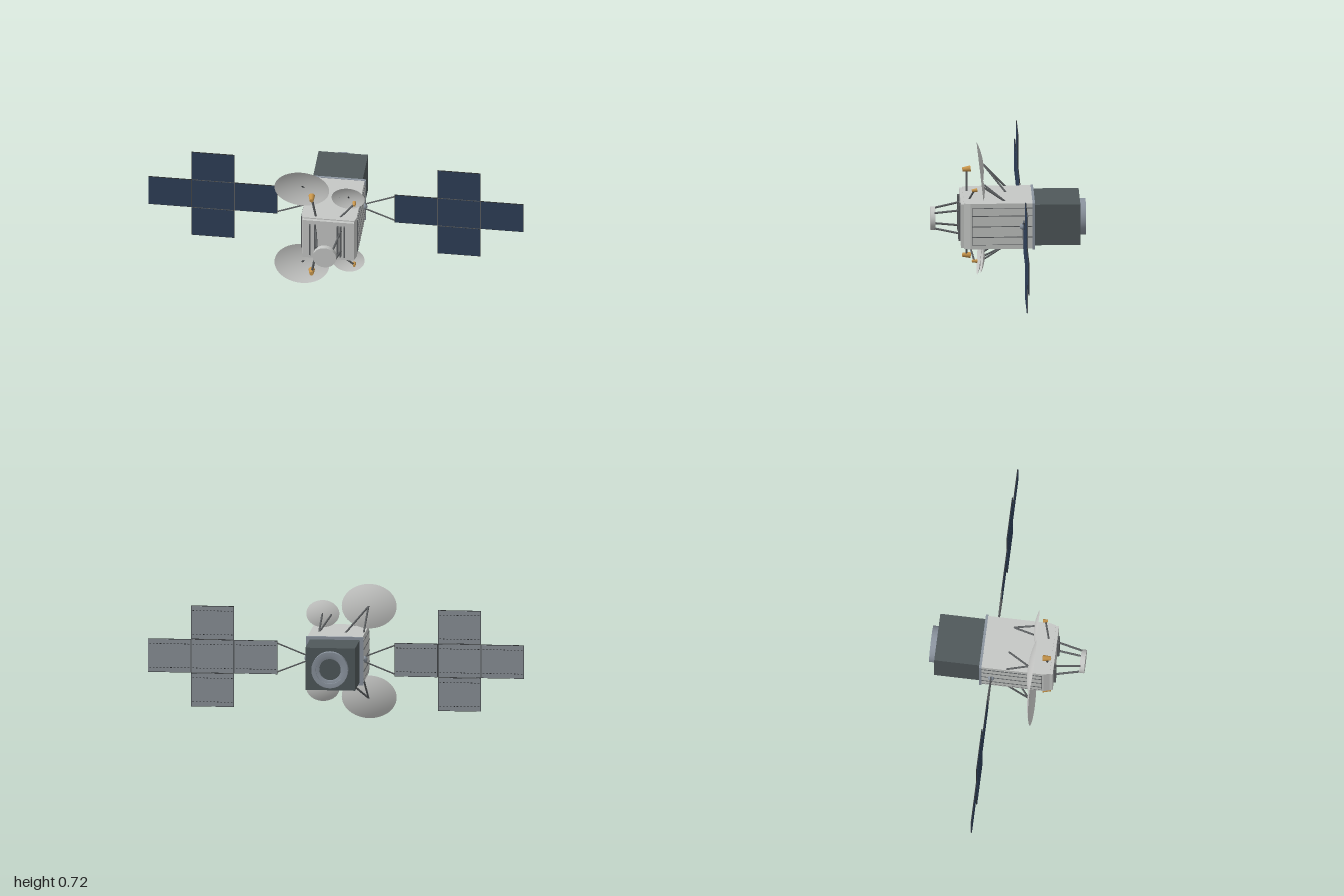
import * as THREE from 'three';
import { toCreasedNormals } from 'three/addons/utils/BufferGeometryUtils.js';

const CY = 0.363; // height of the satellite's long axis
const mat = (name, color, side = THREE.FrontSide) => {
  const m = new THREE.MeshStandardMaterial({ color, side });
  m.name = name;
  return m;
};

export function createModel() {
  const M = {
    hull: mat('hullGrey', 0xc6c8c6),
    dish: mat('dishWhite', 0xcbccca, THREE.DoubleSide),
    dark: mat('engineCharcoal', 0x50595b),
    steel: mat('steelBlue', 0x8c95a0),
    rod: mat('rodGrey', 0x5c5f61),
    cell: mat('cellNavy', 0x2e3f58),
    back: mat('panelBackGrey', 0x8b9299),
    frame: mat('frameBlack', 0x2c2f31),
    gold: mat('feedGold', 0xc8954a),
  };
  const model = new THREE.Group();
  model.name = 'satellite';

  const add = (parent, name, geo, material, x = 0, y = 0, z = 0) => {
    const mesh = new THREE.Mesh(geo, material);
    mesh.name = name;
    mesh.position.set(x, y, z);
    parent.add(mesh);
    return mesh;
  };
  const box = (parent, name, w, h, d, material, x, y, z) =>
    add(parent, name, new THREE.BoxGeometry(w, h, d), material, x, y, z);
  // Round bar between two points, tapered if two radii are given
  const bar = (parent, name, a, b, r, material = M.rod, r2 = r) => {
    const p = new THREE.Vector3(...a), q = new THREE.Vector3(...b);
    const dir = q.clone().sub(p);
    const mesh = add(parent, name, new THREE.CylinderGeometry(r2, r, dir.length(), 12), material);
    mesh.position.copy(p).add(q).multiplyScalar(0.5);
    mesh.quaternion.setFromUnitVectors(new THREE.Vector3(0, 1, 0), dir.normalize());
    return mesh;
  };
  // Lathe turned so that its axis runs along z
  const latheZ = (points, segments = 40) => {
    const geo = new THREE.LatheGeometry(points.map(p => new THREE.Vector2(...p)), segments);
    return geo.rotateX(Math.PI / 2);
  };

  // Main body, its plan tapering slightly at the front
  const plan = new THREE.Shape([[-0.146, 0.13], [0.146, 0.13], [0.146, -0.205],
    [0.138, -0.238], [-0.138, -0.238], [-0.146, -0.205]].map(p => new THREE.Vector2(...p)));
  const bodyGeo = new THREE.ExtrudeGeometry(plan, { depth: 0.254, bevelEnabled: false });
  bodyGeo.rotateX(-Math.PI / 2);
  add(model, 'body', bodyGeo, M.hull, 0, 0.236, 0);
  box(model, 'frontPlate', 0.274, 0.242, 0.018, M.hull, 0, CY, 0.245);
  for (const x of [-0.098, -0.07, 0.05, 0.066, 0.086])
    box(model, 'frontRib', 0.008, 0.196, 0.014, M.rod, x, CY, 0.259);
  box(model, 'rearCollar', 0.304, 0.258, 0.013, M.steel, 0, CY, -0.131);

  // Side plates with edging and ribs
  for (const s of [-1, 1]) {
    box(model, 'sidePlate', 0.006, 0.204, 0.32, M.hull, s * 0.147, CY, 0.036);
    for (const dy of [-0.059, 0, 0.059])
      box(model, 'sideRib', 0.005, 0.004, 0.318, M.rod, s * 0.15, CY + dy, 0.036);
    for (const dy of [-0.102, 0.102])
      box(model, 'sideEdging', 0.004, 0.002, 0.32, M.rod, s * 0.149, CY + dy, 0.036);
    box(model, 'sideEdging', 0.004, 0.204, 0.002, M.rod, s * 0.149, CY, 0.196);
  }

  // Engine block and recessed nozzle ring
  box(model, 'engineBlock', 0.264, 0.227, 0.241, M.dark, 0, CY, -0.2575);
  const ring = toCreasedNormals(latheZ([[0, -0.384], [0.058, -0.384], [0.058, -0.396],
    [0.074, -0.4], [0.074, -0.41], [0.097, -0.41], [0.097, -0.376]]), 0.6);
  const ringMat = M.steel;
  ringMat.side = THREE.DoubleSide;
  add(model, 'nozzleRing', ring, ringMat, 0, CY, 0);
  add(model, 'nozzleThroat', new THREE.CircleGeometry(0.057, 40).rotateY(Math.PI), M.dark, 0, CY, -0.386);

  // Front drum on four struts
  const drum = new THREE.CylinderGeometry(0.0625, 0.0625, 0.026, 40).rotateX(Math.PI / 2);
  add(model, 'frontDrum', drum, M.hull, 0, CY, 0.399);
  for (const sx of [-1, 1]) for (const sy of [-1, 1])
    bar(model, 'drumStrut', [sx * 0.068, CY + sy * 0.066, 0.25],
      [sx * 0.043, CY + sy * 0.043, 0.39], 0.0055);

  // Solar wings: a cross of five panels on each side
  const panel = (wing, x, y) => {
    const w = 0.226, h = 0.177;
    box(wing, 'panelFrame', w + 0.003, h + 0.003, 0.004, M.frame, x, y, 0);
    box(wing, 'solarCells', w - 0.002, h - 0.002, 0.002, M.cell, x, y, 0.0022);
    box(wing, 'panelBack', w - 0.002, h - 0.002, 0.002, M.back, x, y, -0.0022);
    for (const dy of [-0.064, 0.064]) for (let i = 0; i < 12; i++)
      box(wing, 'backDash', 0.009, 0.003, 0.001, M.frame, x + (i - 5.5) * 0.0185, y + dy, -0.0032);
  };
  for (const s of [-1, 1]) {
    const wing = new THREE.Group();
    wing.name = s > 0 ? 'leftWing' : 'rightWing';
    wing.position.set(0, CY, -0.073);
    model.add(wing);
    for (const [x, y] of [[0.426, 0], [0.656, 0], [0.886, 0], [0.656, 0.181], [0.656, -0.181]])
      panel(wing, s * x, y);
    for (const x of [0.541, 0.771]) box(wing, 'hinge', 0.004, 0.178, 0.005, M.rod, s * x, 0, 0);
    for (const y of [-0.0905, 0.0905]) box(wing, 'hinge', 0.228, 0.004, 0.005, M.rod, s * 0.656, y, 0);
    for (const sy of [-1, 1])
      bar(wing, 'wingStrut', [s * 0.148, sy * 0.012, 0], [s * 0.314, sy * 0.078, 0], 0.004);
    add(wing, 'wingHub', new THREE.SphereGeometry(0.018, 10, 8), M.steel, s * 0.15, 0, 0);
  }

  // Elliptical reflector, bowl opening forward and tilted towards its feed
  const reflector = (parent, name, rx, ry, depth, x, y, z) => {
    const points = [];
    for (let i = 0; i <= 8; i++) points.push([Math.max(i / 8, 0.0001), depth * ((i / 8) ** 2 - 1)]);
    const geo = latheZ(points, 48).scale(rx, ry, 1);
    geo.computeVertexNormals();
    const g = new THREE.Group();
    g.name = name;
    g.position.set(x, y, z);
    g.rotation.x = 0.116;
    parent.add(g);
    add(g, 'reflector', geo, M.dish);
    add(g, 'reflectorStud', new THREE.SphereGeometry(0.004, 8, 6), M.frame, 0, 0, -depth + 0.002);
  };

  // Antenna sets, mirrored above and below the body
  for (const s of [1, -1]) {
    const set = new THREE.Group();
    set.name = s > 0 ? 'upperAntennas' : 'lowerAntennas';
    set.position.y = CY;
    set.scale.y = s;
    model.add(set);

    reflector(set, 'largeDish', 0.146, 0.118, 0.022, -0.154, 0.244, 0.147);
    for (const x of [-0.138, -0.04])
      bar(set, 'largeDishStrut', [x, 0.122, 0.008], [-0.152, 0.246, 0.127], 0.005);
    bar(set, 'largeFeedArm', [-0.07, 0.12, 0.217], [-0.092, 0.238, 0.217], 0.006);
    bar(set, 'largeFeed', [-0.095, 0.242, 0.196], [-0.091, 0.239, 0.238], 0.017, M.gold, 0.011);

    reflector(set, 'smallDish', 0.088, 0.072, 0.014, 0.092, 0.2, 0.142);
    for (const x of [0.094, 0.045])
      bar(set, 'smallDishStrut', [0.1, 0.122, 0.018], [x, 0.198, 0.129], 0.005);
    bar(set, 'smallFeedArm', [0.055, 0.12, 0.21], [0.128, 0.196, 0.184], 0.005);
    bar(set, 'smallFeed', [0.128, 0.199, 0.169], [0.132, 0.197, 0.196], 0.01, M.gold, 0.007);
  }
  return model;
}
